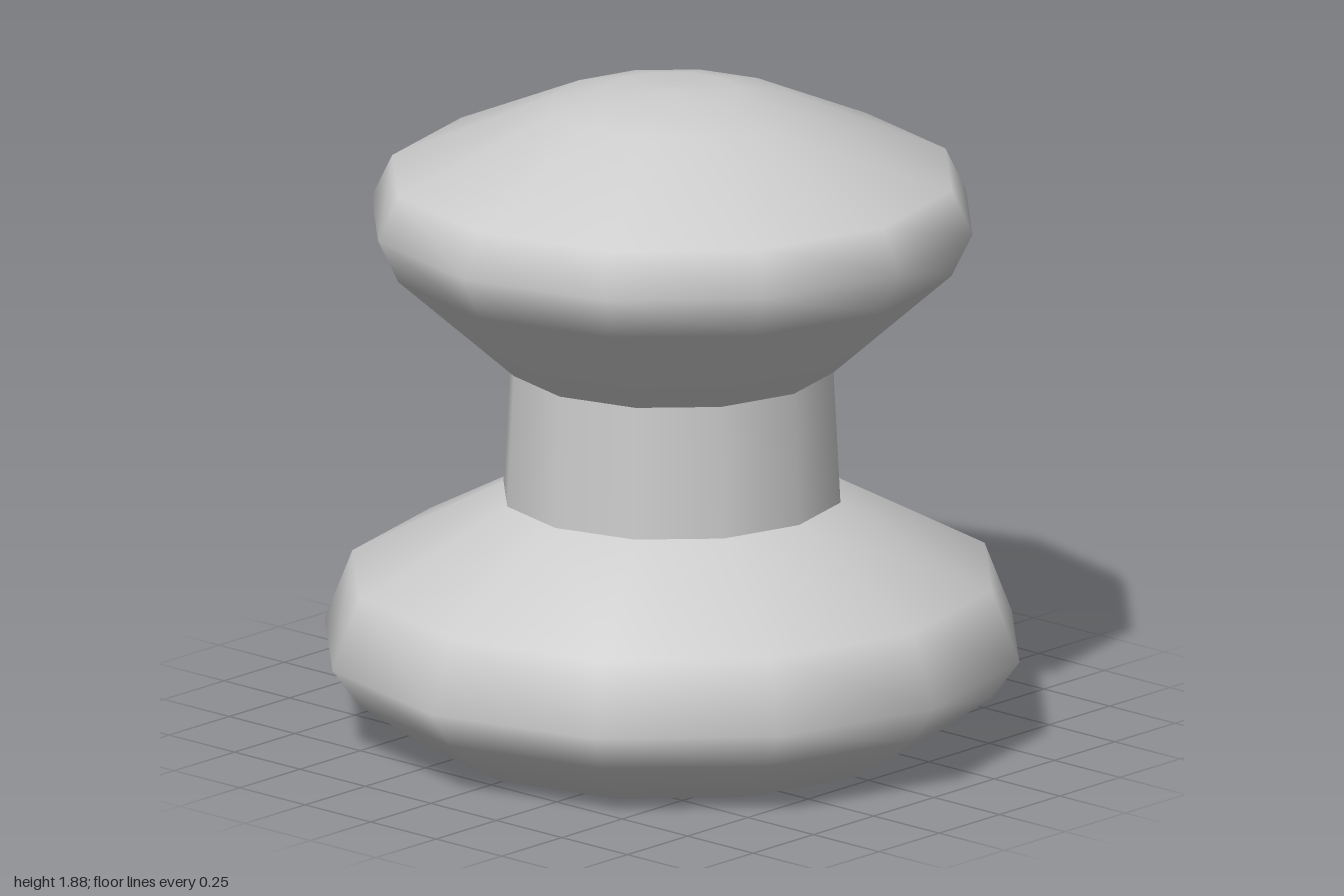
import * as THREE from 'three';

const SIDES = 12;

// Smooth turned section from [radius, height] pairs, listed bottom to top
function turned(name, profile, material) {
  const points = profile.map(([r, y]) => new THREE.Vector2(r, y));
  const mesh = new THREE.Mesh(new THREE.LatheGeometry(points, SIDES), material);
  mesh.name = name;
  return mesh;
}

export function createModel() {
  const model = new THREE.Group();
  model.name = 'knob';
  const grey = new THREE.MeshStandardMaterial({ color: 0xcccccc });

  // Wide foot with closed underside
  model.add(turned('base', [
    [0, 0], [0.705, 0], [0.92, 0.15], [1, 0.26], [0.92, 0.465], [0.485, 0.695],
  ], grey));

  // Slightly tapered neck, creased where it meets base and head
  model.add(turned('neck', [[0.485, 0.695], [0.465, 1.075]], grey));

  // Flared head with a domed top
  model.add(turned('head', [
    [0.465, 1.075], [0.805, 1.38], [0.865, 1.505], [0.805, 1.63],
    [0.355, 1.83], [0.19, 1.87], [0, 1.88],
  ], grey));

  return model;
}
